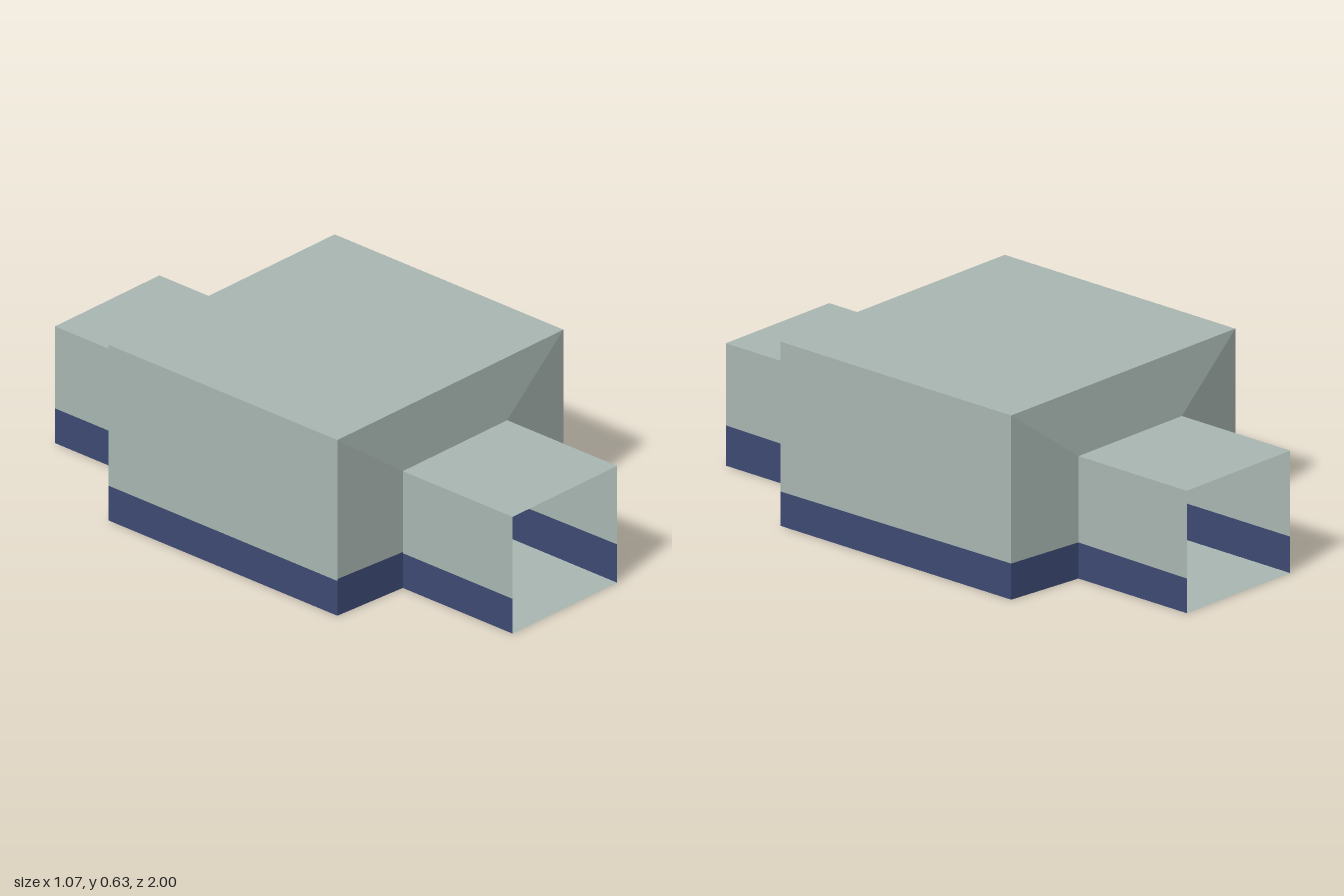
import * as THREE from 'three';

export function createModel() {
  const model = new THREE.Group();
  const plaster = new THREE.MeshStandardMaterial({ color: 0xa9b7b2, side: THREE.DoubleSide });
  plaster.name = 'greyGreenPlaster';
  const paint = new THREE.MeshStandardMaterial({ color: 0x3c4a73, side: THREE.DoubleSide });
  paint.name = 'bluePaint';

  // Flat four-cornered panel, corners counter-clockwise seen from outside
  function panel(name, material, corners) {
    const g = new THREE.BufferGeometry();
    g.setAttribute('position', new THREE.Float32BufferAttribute(corners.flat(), 3));
    g.setIndex([0, 1, 2, 0, 2, 3]);
    g.computeVertexNormals();
    const mesh = new THREE.Mesh(g, material);
    mesh.name = name;
    return mesh;
  }

  // Cross-sections of the hollow shell, front to back: z, half width, height
  const small = { w: 0.247, h: 0.42 }, large = { w: 0.535, h: 0.632 };
  const sections = [
    { z: 1, ...small }, { z: 0.52, ...small },
    { z: 0.5, ...large }, { z: -0.5, ...large },
    { z: -0.53, ...small }, { z: -1, ...small },
  ];
  const names = ['frontPassage', 'frontEndWall', 'chamber', 'backEndWall', 'backPassage'];
  // Height of the painted band at the two ends of each part: left wall, right wall
  const bands = [
    { left: [0.138, 0.133], right: [0.125, 0.125] },
    { left: [0.122, 0.122], right: [0.129, 0.132] },
    { left: [0.118, 0.124], right: [0.125, 0.125] },
    { left: [0.124, 0.124], right: [0.125, 0.125] },
    { left: [0.124, 0.119], right: [0.125, 0.125] },
  ];

  names.forEach((name, i) => {
    const part = new THREE.Group();
    part.name = name;
    const f = sections[i], b = sections[i + 1];

    // Side walls: painted band below, plaster above
    for (const [side, s] of [['left', 1], ['right', -1]]) {
      const [bf, bb] = bands[i][side];
      const strip = (f0, b0, f1, b1) => {
        const c = [[s * f.w, f0, f.z], [s * b.w, b0, b.z], [s * b.w, b1, b.z], [s * f.w, f1, f.z]];
        return s > 0 ? c : c.reverse();
      };
      part.add(panel(side + 'PaintedBand', paint, strip(0, 0, bf, bb)));
      part.add(panel(side + 'Wall', plaster, strip(bf, bb, f.h, b.h)));
    }

    // Roof (sloping at the end walls) and floor
    part.add(panel('roof', plaster,
      [[-f.w, f.h, f.z], [f.w, f.h, f.z], [b.w, b.h, b.z], [-b.w, b.h, b.z]]));
    part.add(panel('floor', plaster,
      [[-b.w, 0, b.z], [b.w, 0, b.z], [f.w, 0, f.z], [-f.w, 0, f.z]]));
    model.add(part);
  });

  return model;
}
